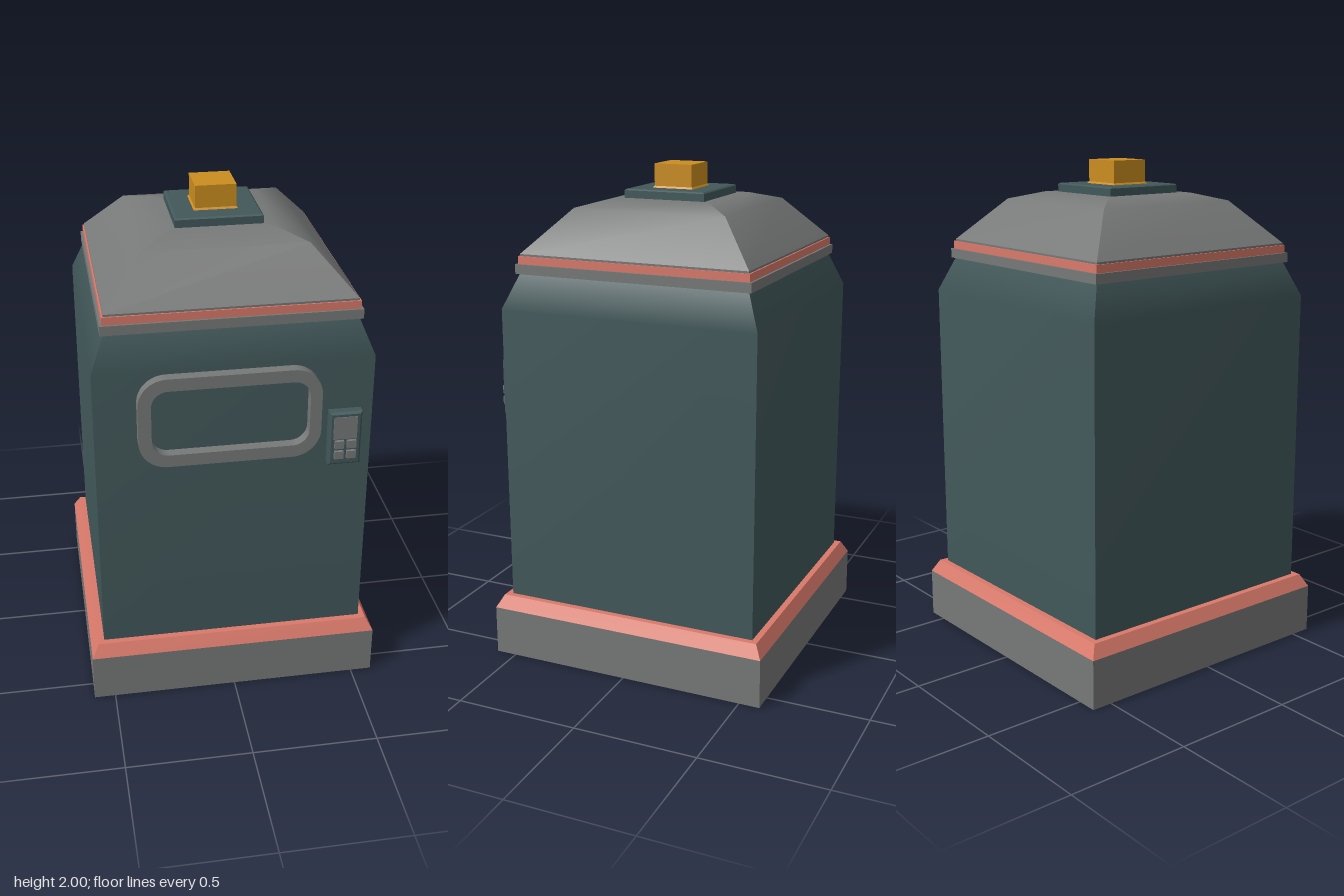
import * as THREE from 'three';

const mat = (name, color) => {
  const m = new THREE.MeshStandardMaterial({ color, side: THREE.DoubleSide });
  m.name = name;
  return m;
};

// Square shell from a [half width, y] profile: smooth along the profile, sharp at
// the four corners. Repeating a point makes a sharp edge there.
function squareShell(profile) {
  const pos = [], idx = [];
  for (let side = 0; side < 4; side++) {
    const c = Math.round(Math.cos(side * Math.PI / 2)), s = Math.round(Math.sin(side * Math.PI / 2));
    const base = pos.length / 3;
    profile.forEach(([h, y], i) => {
      for (const x of [-h, h]) pos.push(x * c + h * s, y, h * c - x * s);
      if (i === 0) return;
      const a = base + 2 * (i - 1);
      idx.push(a, a + 1, a + 3, a, a + 3, a + 2);
    });
  }
  const g = new THREE.BufferGeometry();
  g.setAttribute('position', new THREE.Float32BufferAttribute(pos, 3));
  g.setIndex(idx);
  g.computeVertexNormals();
  return g;
}

// Rounded rectangle outline between two corners
function roundRect(Type, x0, y0, x1, y1, r) {
  const p = new Type();
  p.absarc(x1 - r, y1 - r, r, 0, Math.PI / 2);
  p.absarc(x0 + r, y1 - r, r, Math.PI / 2, Math.PI);
  p.absarc(x0 + r, y0 + r, r, Math.PI, Math.PI * 1.5);
  p.absarc(x1 - r, y0 + r, r, Math.PI * 1.5, Math.PI * 2);
  p.closePath();
  return p;
}

export function createModel() {
  const model = new THREE.Group();
  model.name = 'booth';
  const teal = mat('dark teal', 0x42585a);
  const grey = mat('grey', 0x777878);
  const coral = mat('coral', 0xd9796a);
  const amber = mat('amber', 0xcb8d1f);

  const add = (name, geometry, material, parent = model) => {
    const mesh = new THREE.Mesh(geometry, material);
    mesh.name = name;
    parent.add(mesh);
    return mesh;
  };
  const box = (name, material, x0, y0, z0, x1, y1, z1, parent) =>
    add(name, new THREE.BoxGeometry(x1 - x0, y1 - y0, z1 - z0), material, parent)
      .position.set((x0 + x1) / 2, (y0 + y1) / 2, (z0 + z1) / 2);

  // Hollow plinth, open underneath, with its sloped trim
  add('plinth', squareShell([[0.585, 0], [0.585, 0.2]]), grey);
  add('plinthTrim', squareShell([[0.585, 0.2], [0.557, 0.252], [0.557, 0.252], [0.531, 0.252]]), coral);

  // Body with tapering shoulders
  add('body', squareShell([[0.532, 0.252], [0.532, 1.46], [0.475, 1.6]]), teal);

  // Collar and trim under the roof
  box('collar', grey, -0.49, 1.595, -0.49, 0.49, 1.633, 0.49);
  box('roofTrim', coral, -0.481, 1.633, -0.481, 0.481, 1.664, 0.481);

  // Roof with a soft upper edge
  add('roof', squareShell([[0.475, 1.664], [0.475, 1.672], [0.475, 1.672],
    [0.318, 1.84], [0.21, 1.87], [0, 1.87]]), grey);

  // Cap plate and beacon
  add('capPlate', squareShell([[0.17, 1.865], [0.17, 1.9], [0.17, 1.9],
    [0.163, 1.905], [0.163, 1.905], [0, 1.905]]), teal);
  add('beacon', squareShell([[0.086, 1.905], [0.08, 1.912], [0.08, 1.912],
    [0.08, 2], [0.08, 2], [0, 2]]), amber);

  // Window frame
  const frame = roundRect(THREE.Shape, -0.37, 1.075, 0.325, 1.445, 0.11);
  frame.holes.push(roundRect(THREE.Path, -0.32, 1.125, 0.28, 1.395, 0.065));
  add('windowFrame', new THREE.ExtrudeGeometry(frame, { depth: 0.045, bevelEnabled: false, curveSegments: 10 }), grey)
    .position.z = 0.53;

  // Keypad with chamfered case, screen and four buttons
  const keypad = new THREE.Group();
  keypad.name = 'keypad';
  model.add(keypad);
  const face = new THREE.Shape([[0.367, 1.027], [0.478, 1.027], [0.478, 1.238], [0.367, 1.238]]
    .map(([x, y]) => new THREE.Vector2(x, y)));
  add('keypadCase', new THREE.ExtrudeGeometry(face,
    { depth: 0.03, bevelThickness: 0.008, bevelSize: 0.008, bevelSegments: 1 }), teal, keypad).position.z = 0.532;
  box('keypadScreen', grey, 0.375, 1.133, 0.565, 0.467, 1.228, 0.573, keypad);
  for (const x of [0.38, 0.428])
    for (const y of [1.052, 1.097])
      box('keypadButton', grey, x, y, 0.565, x + 0.036, y + 0.032, 0.583, keypad);

  return model;
}
